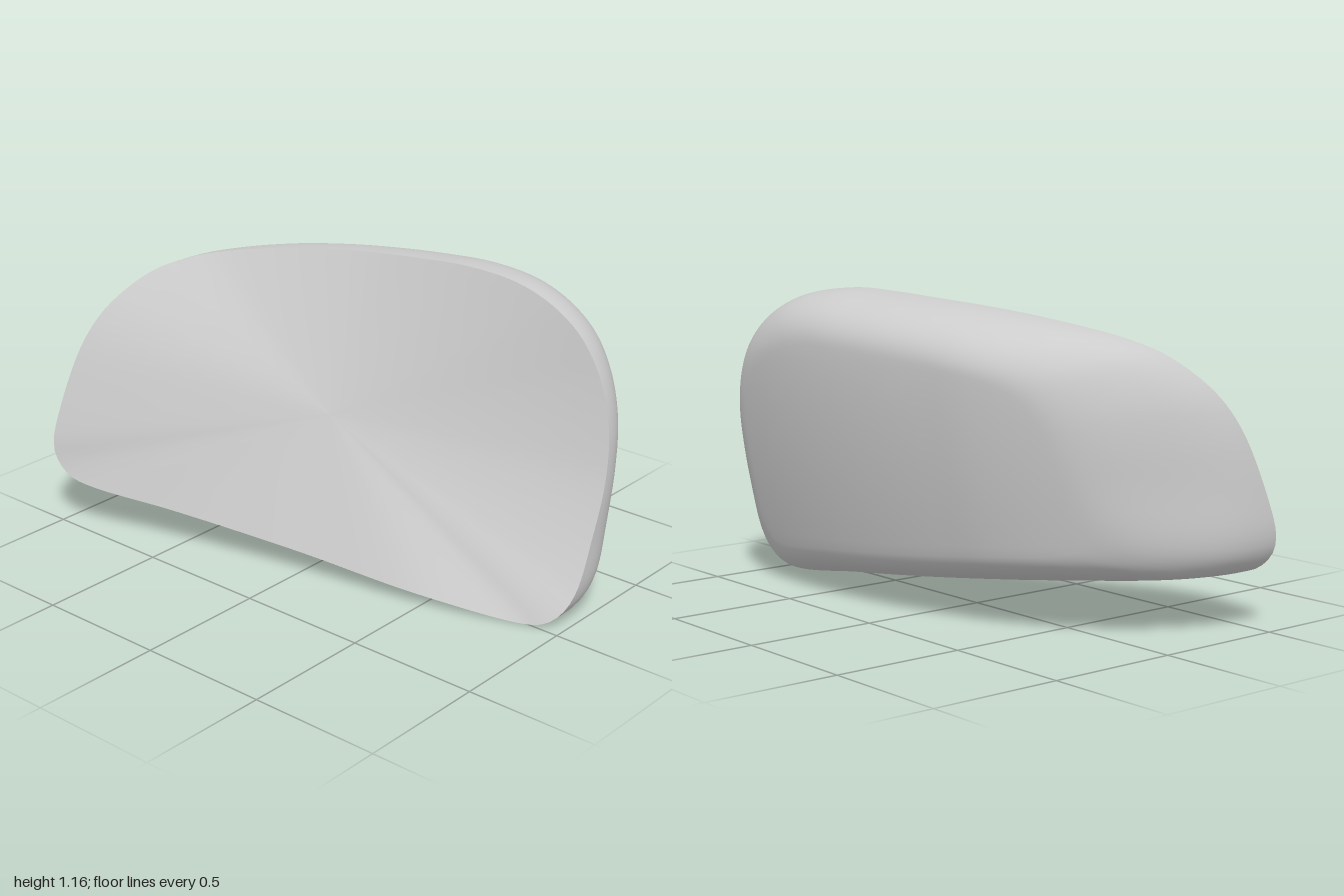
import * as THREE from 'three';

// Rim where the front face meets the shell, clockwise seen from the front
const RIM = [
  [-1, 0.34, 0.525], [-0.99, 0.5, 0.48], [-0.95, 0.73, 0.39], [-0.9, 0.86, 0.305],
  [-0.8, 0.983, 0.175], [-0.7, 1.037, 0.085], [-0.6, 1.067, 0.02], [-0.4, 1.105, -0.065],
  [-0.2, 1.13, -0.13], [0, 1.147, -0.18], [0.2, 1.16, -0.21], [0.4, 1.165, -0.24],
  [0.6, 1.137, -0.27], [0.75, 1.07, -0.288], [0.85, 0.982, -0.3], [0.93, 0.845, -0.305],
  [0.98, 0.68, -0.293], [0.998, 0.5, -0.26], [1, 0.3, -0.19], [1, 0.13, -0.11],
  [0.98, 0.06, -0.06], [0.94, 0.02, -0.025], [0.88, 0.003, 0], [0.5, 0.045, 0.14],
  [0, 0.1, 0.25], [-0.5, 0.155, 0.385], [-0.83, 0.19, 0.49], [-0.92, 0.215, 0.515],
  [-0.98, 0.27, 0.525],
].map((p) => new THREE.Vector3(...p));

// Depth of the back along x, evenly spaced from -1 to 1
const BACK = new THREE.SplineCurve(
  [0.02, -0.14, -0.28, -0.38, -0.44, -0.485, -0.515, -0.53, -0.53, -0.515, -0.49]
    .map((z, i) => new THREE.Vector2(i / 5 - 1, z)));

const SEGMENTS = 180;
const CENTER_Y = 0.58;

// The back leans forward towards its lower edge
function backZ(x, y) {
  const t = THREE.MathUtils.clamp((x + 1) / 2, 0, 1);
  return BACK.getPoint(t).y + 0.2 * Math.max(0, 1 - y / 0.95) ** 1.6;
}

// Mean plane of the front face
const frontZ = (x, y) => 0.045 - 0.38 * x - 0.41 * (y - 0.6);

// Surface through closed rings of equal point count
function loft(rings, flip) {
  const n = rings[0].length;
  const index = [];
  for (let i = 0; i < rings.length - 1; i++) {
    for (let j = 0; j < n; j++) {
      const k = (j + 1) % n;
      const a = i * n + j, b = i * n + k, c = a + n, d = b + n;
      if (flip) index.push(a, c, b, b, c, d);
      else index.push(a, b, c, b, d, c);
    }
  }
  const geometry = new THREE.BufferGeometry().setFromPoints(rings.flat());
  geometry.setIndex(index);
  geometry.computeVertexNormals();
  return geometry;
}

export function createModel() {
  const group = new THREE.Group();
  group.name = 'cushionPad';
  const material = new THREE.MeshStandardMaterial({ color: 0xcccccc, side: THREE.DoubleSide });
  const rim = new THREE.CatmullRomCurve3(RIM, true, 'centripetal')
    .getSpacedPoints(SEGMENTS).slice(0, SEGMENTS);

  // Front face: the rim's warp fades smoothly to a plane in the middle
  const frontRings = [];
  for (let i = 0; i <= 14; i++) {
    const s = Math.max(1 - i / 14, 0.0005);
    frontRings.push(rim.map((p) => {
      const x = p.x * s;
      const y = CENTER_Y + (p.y - CENTER_Y) * s;
      return new THREE.Vector3(x, y, frontZ(x, y) + (p.z - frontZ(p.x, p.y)) * s ** 1.6);
    }));
  }
  const front = new THREE.Mesh(loft(frontRings, true), material);
  front.name = 'frontFace';

  // Shell: side wall rounding over into the back, softer towards the thin right end
  const shellRings = [];
  const inset = (p, k) => {
    const x = p.x * (1 - (0.255 - 0.065 * p.x) * k);
    const y = CENTER_Y + (p.y - CENTER_Y) * (1 - 0.33 * k);
    return new THREE.Vector3(x, y, backZ(x, y));
  };
  for (let i = 0; i <= 24; i++) {
    const a = (i / 24) * Math.PI / 2;
    shellRings.push(rim.map((p) => {
      // Squarer section along the lower edge
      const e = 0.66 + 0.26 * THREE.MathUtils.smoothstep(p.y, 0.1, 0.6);
      const q = inset(p, 1 - Math.max(Math.cos(a), 0) ** e);
      q.z = p.z + (q.z - p.z) * Math.sin(a) ** e;
      return q;
    }));
  }
  // Back panel, shrinking to the middle
  for (let i = 1; i <= 20; i++) {
    const s = Math.max(1 - i / 20, 0.0005);
    shellRings.push(rim.map((p) => {
      const q = inset(p, 1);
      q.x *= s;
      q.y = CENTER_Y + (q.y - CENTER_Y) * s;
      q.z = backZ(q.x, q.y);
      return q;
    }));
  }
  const shell = new THREE.Mesh(loft(shellRings, false), material);
  shell.name = 'backShell';

  group.add(front, shell);
  return group;
}
